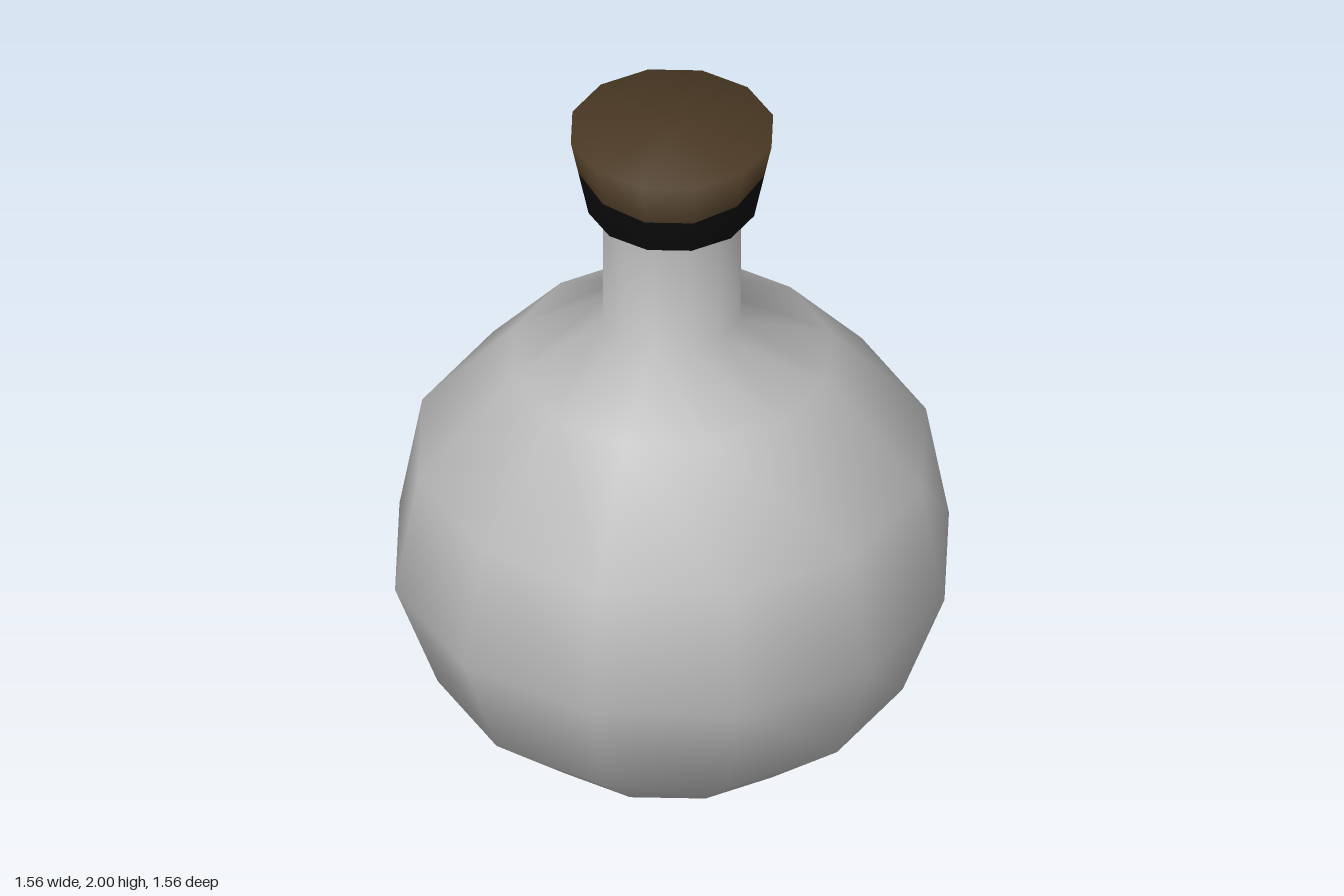
import * as THREE from 'three';

const SIDES = 12;
const toPoints = (list) => list.map(([r, y]) => new THREE.Vector2(r, y));

export function createModel() {
  const model = new THREE.Group();
  model.name = 'roundFlask';

  const glass = new THREE.MeshStandardMaterial({ color: 0xbababa });
  glass.name = 'grey glass';
  const cork = new THREE.MeshStandardMaterial({ color: 0x4a3924 });
  cork.name = 'brown cork';
  const stain = new THREE.MeshStandardMaterial({ color: 0x0c0c0c });
  stain.name = 'black cork base';

  // Round body and neck in one smooth twelve-sided lathe
  const flask = new THREE.Mesh(new THREE.LatheGeometry(toPoints([
    [0, 0], [0.4, 0], [0.66, 0.225], [0.78, 0.555], [0.715, 0.92],
    [0.445, 1.23], [0.195, 1.38], [0.195, 1.76],
  ]), SIDES), glass);
  flask.name = 'flask';
  model.add(flask);

  // Tapered stopper; ring 3 is the slanted border between the two colours
  const bottom = [0.235, 1.745], rim = [0.285, 1.99], border = 3;
  const profile = [[0, 1.725], [0.2, 1.725], bottom, [0.26, 1.8675], rim, [0, 2]];
  const geo = new THREE.LatheGeometry(toPoints(profile), SIDES);
  const pos = geo.attributes.position;
  for (let i = 0; i <= SIDES; i++) {
    const v = i * profile.length + border;
    const x = pos.getX(v), z = pos.getZ(v);
    const y = 1.9 - 0.13 * (x + z);
    const t = (y - bottom[1]) / (rim[1] - bottom[1]);
    const r = THREE.MathUtils.lerp(bottom[0], rim[0], t);
    const a = (i / SIDES) * Math.PI * 2;
    pos.setXYZ(v, r * Math.sin(a), y, r * Math.cos(a));
  }

  // Black below the border, brown above it, in every side
  const bands = profile.length - 1;
  for (let i = 0; i < SIDES; i++) {
    const start = i * bands * 6;
    geo.addGroup(start, border * 6, 0);
    geo.addGroup(start + border * 6, (bands - border) * 6, 1);
  }
  const stopper = new THREE.Mesh(geo, [stain, cork]);
  stopper.name = 'stopper';
  model.add(stopper);

  return model;
}
